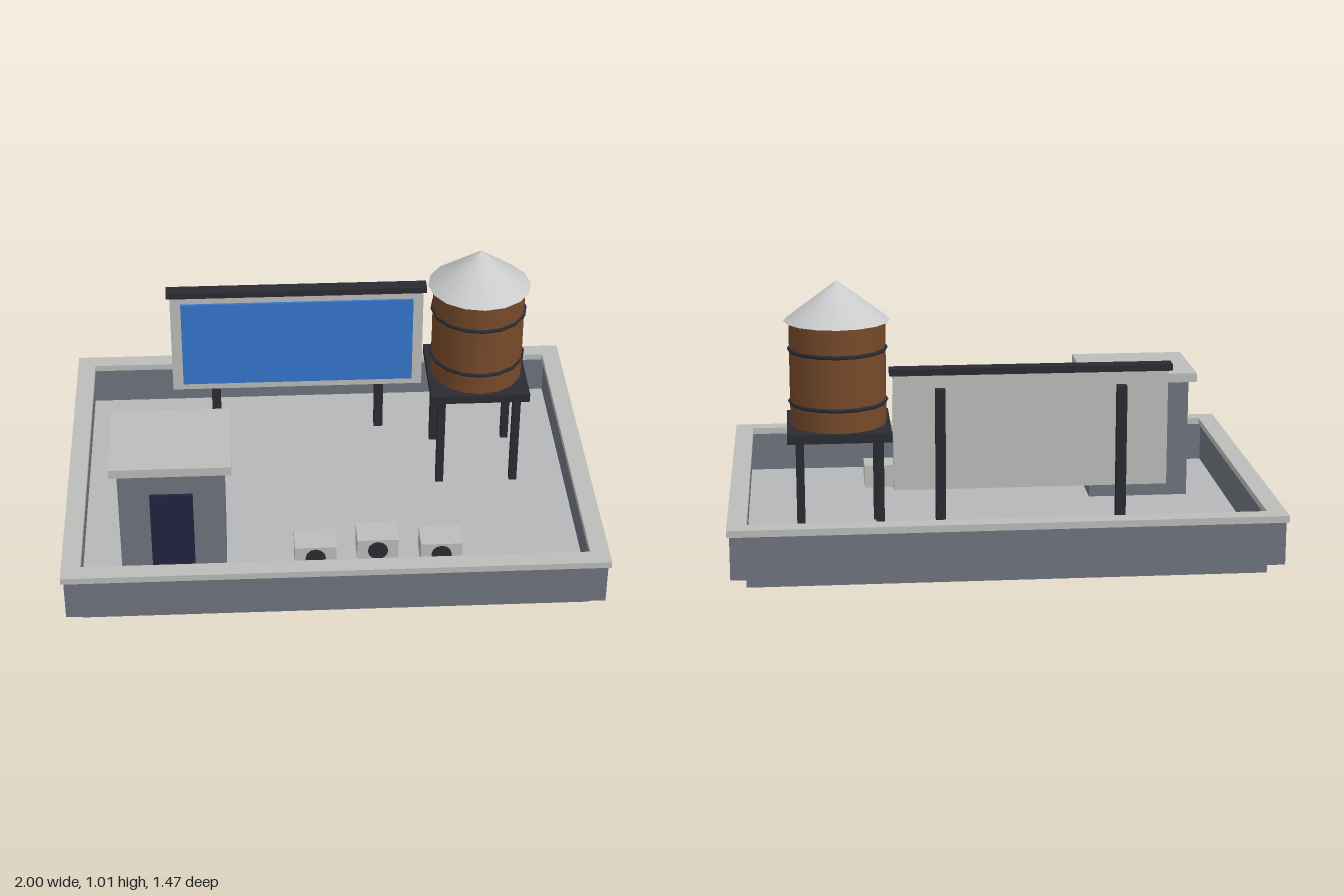
import * as THREE from 'three';

const mat = (name, color) => {
  const m = new THREE.MeshStandardMaterial({ color });
  m.name = name;
  return m;
};

export function createModel() {
  const wall = mat('wallGrey', 0x6e737d);
  const floorMat = mat('floorGrey', 0xb6b7b8);
  const trim = mat('trimGrey', 0xbcbdba);
  const roofMat = mat('tankRoofGrey', 0xc8cacb);
  const dark = mat('darkSteel', 0x2a2b31);
  const door = mat('doorNavy', 0x222240);
  const blue = mat('billboardBlue', 0x3676cc);
  const wood = mat('woodBrown', 0x764a2a);

  const root = new THREE.Group();
  root.name = 'rooftop';
  const group = (name) => {
    const g = new THREE.Group();
    g.name = name;
    root.add(g);
    return g;
  };
  const add = (parent, name, geometry, material, x, y, z) => {
    const m = new THREE.Mesh(geometry, material);
    m.name = name;
    m.position.set(x, y, z);
    parent.add(m);
    return m;
  };
  // box given by its limits on each axis
  const box = (parent, name, material, [x0, x1], [y0, y1], [z0, z1]) =>
    add(parent, name, new THREE.BoxGeometry(x1 - x0, y1 - y0, z1 - z0), material,
      (x0 + x1) / 2, (y0 + y1) / 2, (z0 + z1) / 2);

  const FLOOR = 0.05;

  // base slab and floor
  const base = group('base');
  box(base, 'slab', wall, [-0.935, 0.935], [0, 0.045], [-0.675, 0.675]);
  box(base, 'floor', floorMat, [-0.945, 0.945], [0.045, FLOOR], [-0.68, 0.68]);

  // parapet walls with coping
  const parapet = group('parapet');
  for (const s of [-1, 1]) {
    const span = (a, b) => (s > 0 ? [a, b] : [-b, -a]);
    box(parapet, 'longWall', wall, [-0.99, 0.99], [0.045, 0.205], span(0.68, 0.725));
    box(parapet, 'shortWall', wall, span(0.94, 0.985), [0.045, 0.205], [-0.68, 0.68]);
    box(parapet, 'longCoping', trim, [-1, 1], [0.205, 0.23], span(0.668, 0.735));
    box(parapet, 'shortCoping', trim, span(0.93, 1), [0.205, 0.23], [-0.668, 0.668]);
  }

  // stair hut
  const hut = group('stairHut');
  box(hut, 'hutWalls', wall, [-0.79, -0.4], [FLOOR, 0.515], [0.168, 0.497]);
  box(hut, 'hutRoof', trim, [-0.818, -0.373], [0.515, 0.55], [0.142, 0.522]);
  box(hut, 'hutDoor', door, [-0.675, -0.517], [FLOOR, 0.42], [0.497, 0.51]);

  // billboard
  const board = group('billboard');
  box(board, 'boardPanel', trim, [-0.602, 0.4], [0.275, 0.705], [-0.437, -0.41]);
  box(board, 'boardFace', blue, [-0.56, 0.36], [0.305, 0.675], [-0.41, -0.4]);
  box(board, 'boardCap', dark, [-0.615, 0.412], [0.705, 0.73], [-0.455, -0.4]);
  for (const x of [-0.43, 0.23])
    box(board, 'boardPost', dark, [x - 0.018, x + 0.018], [FLOOR, 0.655], [-0.472, -0.437]);

  // water tank on a stand
  const tank = group('waterTank');
  tank.position.set(0.592, 0, -0.197);
  for (const x of [-0.146, 0.146])
    for (const z of [-0.146, 0.146])
      box(tank, 'tankLeg', dark, [x - 0.015, x + 0.015], [FLOOR, 0.442], [z - 0.015, z + 0.015]);
  box(tank, 'tankPlatform', dark, [-0.191, 0.191], [0.442, 0.475], [-0.191, 0.191]);
  add(tank, 'tankBarrel', new THREE.CylinderGeometry(0.178, 0.178, 0.39, 16), wood, 0, 0.67, 0);
  for (const y of [0.56, 0.758]) {
    const hoop = add(tank, 'tankHoop', new THREE.TorusGeometry(0.178, 0.008, 6, 16), dark, 0, y, 0);
    hoop.rotation.x = Math.PI / 2;
  }
  add(tank, 'tankRoof', new THREE.ConeGeometry(0.197, 0.147, 16), roofMat, 0, 0.9365, 0);

  // air conditioning units with a fan on the front
  const units = group('airUnits');
  for (const [x, z] of [[-0.068, 0.427], [0.168, 0.393], [0.405, 0.427]]) {
    box(units, 'airUnit', trim, [x - 0.078, x + 0.078], [FLOOR, 0.142], [z - 0.057, z + 0.057]);
    const fan = add(units, 'airUnitFan', new THREE.CylinderGeometry(0.038, 0.038, 0.008, 12),
      dark, x, 0.096, z + 0.059);
    fan.rotation.x = Math.PI / 2;
  }
  return root;
}
